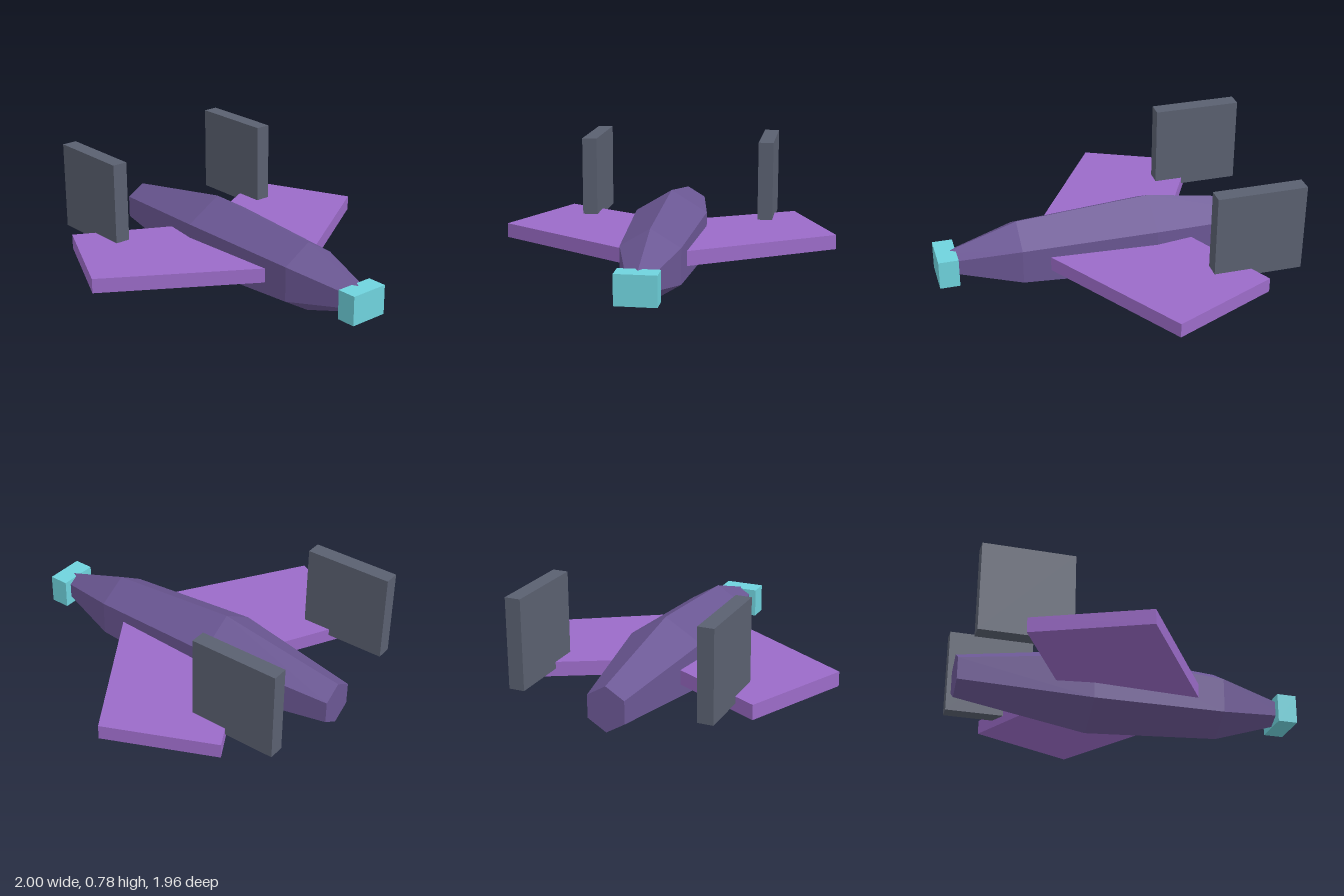
import * as THREE from 'three';

const paint = (color) => new THREE.MeshStandardMaterial({ color, flatShading: true });

export function createModel() {
  const model = new THREE.Group();
  const hull = paint(0x6b5794);
  const wingPaint = paint(0x9b6bc8);
  const finPaint = paint(0x5a6070);
  const nosePaint = paint(0x6fd3dd);

  const add = (name, geometry, material, x = 0, y = 0, z = 0) => {
    const mesh = new THREE.Mesh(geometry, material);
    mesh.name = name;
    mesh.position.set(x, y, z);
    model.add(mesh);
  };

  // Fuselage: hexagonal tube along x, one [x, radius] per ring from tail to nose
  const stations = [[-1, 0.13], [-0.25, 0.258], [0.53, 0.205], [0.95, 0.066]];
  const body = new THREE.CylinderGeometry(1, 1, 3, 6, 3);
  body.rotateX(Math.PI / 2).rotateY(Math.PI / 2);
  const p = body.attributes.position;
  for (let i = 0; i < p.count; i++) {
    const [x, r] = stations[Math.round(p.getX(i) + 1.5)];
    p.setXYZ(i, x, p.getY(i) * r, p.getZ(i) * r * 0.95);
  }
  body.computeVertexNormals();
  add('fuselage', body, hull, 0, 0.259, 0);

  // Nose block
  add('nose', new THREE.BoxGeometry(0.115, 0.17, 0.23), nosePaint, 0.9425, 0.25, 0);

  // Swept wings and upright tail fins, mirrored across z
  for (const side of [1, -1]) {
    const label = side > 0 ? 'right' : 'left';
    const outline = [[0.42, 0.1], [-0.135, 0.982], [-0.74, 0.708], [-0.418, 0.1]];
    const shape = new THREE.Shape(outline.map(([x, z]) => new THREE.Vector2(x, -z * side)));
    const wing = new THREE.ExtrudeGeometry(shape, { depth: 0.085, bevelEnabled: false });
    wing.rotateX(-Math.PI / 2);
    add(label + 'Wing', wing, wingPaint, 0, 0.22, 0);
    add(label + 'Fin', new THREE.BoxGeometry(0.515, 0.515, 0.09), finPaint, -0.717, 0.523, side * 0.543);
  }
  return model;
}
